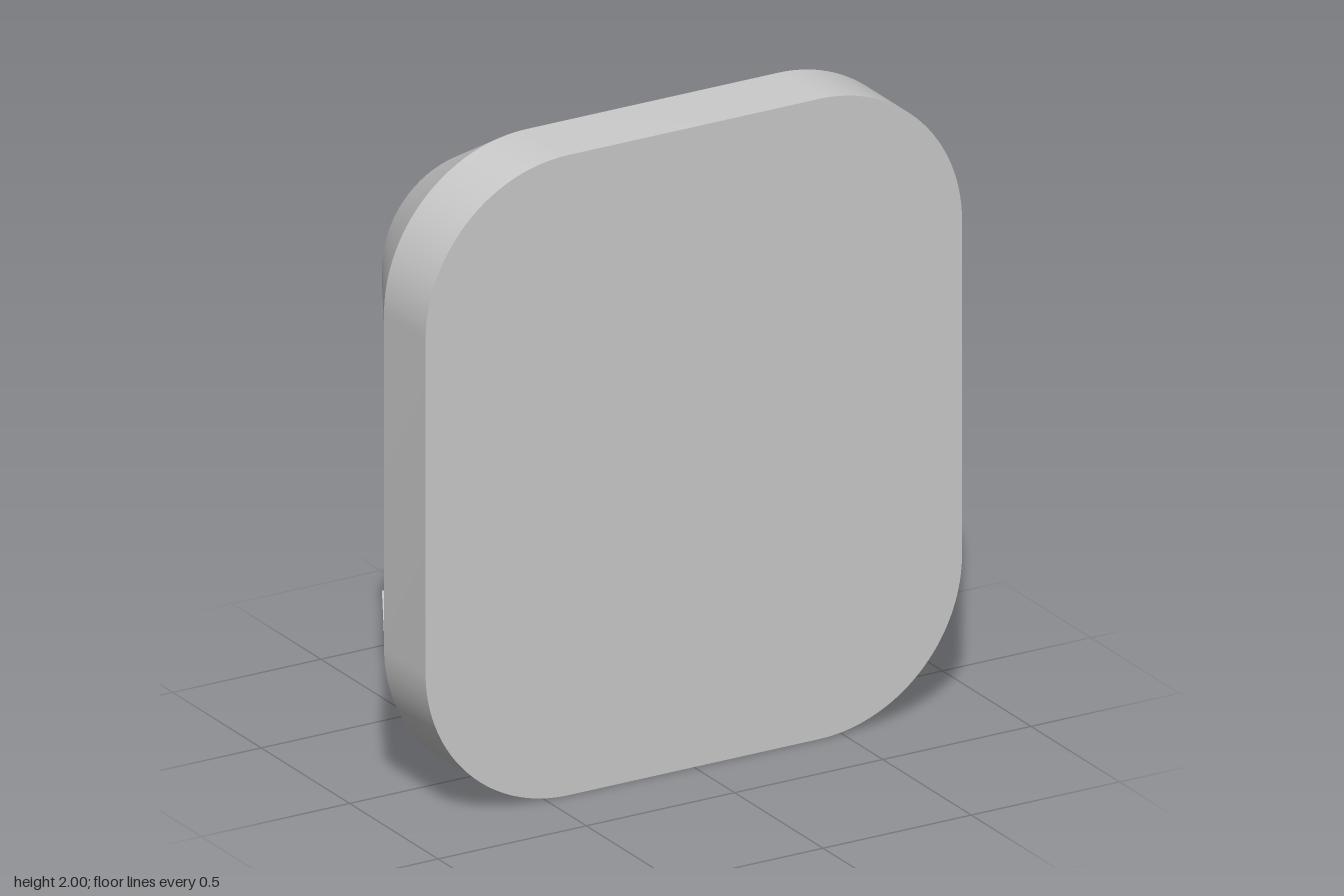
import * as THREE from 'three';
import { mergeGeometries, toCreasedNormals } from 'three/addons/utils/BufferGeometryUtils.js';

const W = 0.905, H = 1, R = 0.48;         // half width, half height, corner radius
const FRONT = 0.27, BACK = 0.035;         // plate faces along z

function buffer(positions, index) {
  const g = new THREE.BufferGeometry();
  g.setAttribute('position', new THREE.Float32BufferAttribute(positions, 3));
  g.setIndex(index);
  g.computeVertexNormals();
  return g;
}

// Sweeps a closed profile of [inset from the plate edge, z] points around one corner,
// with straight runs of length `run` at both ends, and caps the ends.
function sweepCorner(profile, run) {
  const N = 18;
  const at = (i, [inset, z]) => {
    const r = R - inset;
    if (i === 0) return [-run, r, z];
    if (i === N + 2) return [r, -run, z];
    const a = Math.PI / 2 * (1 - (i - 1) / N);
    return [r * Math.cos(a), r * Math.sin(a), z];
  };
  const parts = [];
  // One smooth strip for each profile edge
  profile.forEach((p, j) => {
    const q = profile[(j + 1) % profile.length];
    const pos = [], idx = [];
    for (let i = 0; i <= N + 2; i++) {
      pos.push(...at(i, p), ...at(i, q));
      if (i <= N + 1) {
        const a = 2 * i, b = a + 1, c = a + 2, d = a + 3;
        idx.push(a, c, b, b, c, d);
      }
    }
    parts.push(buffer(pos, idx));
  });
  // End caps
  const faces = THREE.ShapeUtils.triangulateShape(profile.map(p => new THREE.Vector2(...p)), []);
  parts.push(buffer(profile.flatMap(p => at(0, p)), faces.flat()));
  parts.push(buffer(profile.flatMap(p => at(N + 2, p)), faces.flatMap(([a, b, c]) => [a, c, b])));
  return mergeGeometries(parts);
}

function plateGeometry() {
  const s = new THREE.Shape();
  const x = W - R, y = H - R, q = Math.PI / 2;
  s.absarc(x, y, R, 0, q);
  s.absarc(-x, y, R, q, 2 * q);
  s.absarc(-x, -y, R, 2 * q, 3 * q);
  s.absarc(x, -y, R, 3 * q, 4 * q);
  s.closePath();
  const g = new THREE.ExtrudeGeometry(s, { depth: FRONT - BACK, bevelEnabled: false, curveSegments: 18 });
  return toCreasedNormals(g, 0.5).translate(0, H, BACK);
}

export function createModel() {
  const model = new THREE.Group();
  model.name = 'cornerClipCover';
  const material = new THREE.MeshStandardMaterial({ color: 0xcccccc });
  const add = (parent, name, geometry) => {
    const mesh = new THREE.Mesh(geometry, material);
    mesh.name = name;
    parent.add(mesh);
  };

  add(model, 'plate', plateGeometry());

  // Tapered corner wall with an inward snap ridge and a groove below it
  const wall = sweepCorner([
    [0, BACK], [0.175, -0.27], [0.265, -0.27], [0.305, -0.205],
    [0.24, -0.125], [0.24, BACK],
  ], 0.035);
  // Low seat rail inside the wall, reaching past its ends
  const rail = sweepCorner([[0.26, BACK], [0.26, -0.065], [0.36, -0.065], [0.36, BACK]], 0.105);
  // Floor of the groove between the wall and the rail
  const floor = sweepCorner([[0.235, BACK], [0.235, -0.065], [0.265, -0.065], [0.265, BACK]], 0.035);

  // Each corner is symmetric about its diagonal, so quarter turns place all four
  [[1, 1], [-1, 1], [-1, -1], [1, -1]].forEach(([sx, sy], i) => {
    const corner = new THREE.Group();
    corner.name = ['upperLeft', 'upperRight', 'lowerRight', 'lowerLeft'][i] + 'Clip';
    corner.position.set(sx * (W - R), H + sy * (H - R), 0);
    corner.rotation.z = i * Math.PI / 2;
    add(corner, 'clipWall', wall);
    add(corner, 'seatRail', rail);
    add(corner, 'grooveFloor', floor);
    model.add(corner);
  });
  return model;
}
